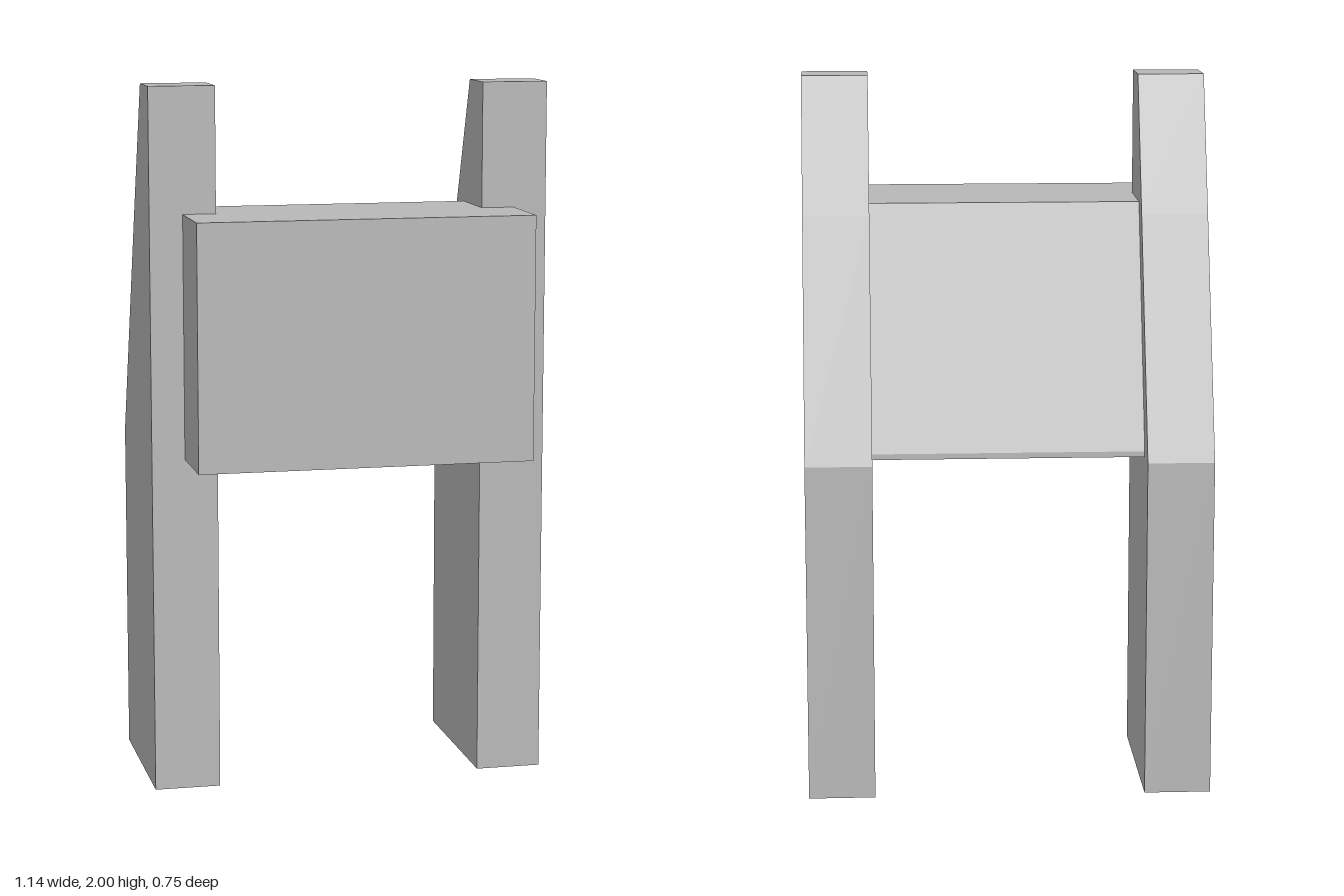
import * as THREE from 'three';

// Extrude a side profile of [z, y] points across x, centred on x = 0
function sideExtrude(points, width) {
  const shape = new THREE.Shape(points.map(([z, y]) => new THREE.Vector2(z, y)));
  const geometry = new THREE.ExtrudeGeometry(shape, { depth: width, bevelEnabled: false });
  geometry.translate(0, 0, -width / 2);
  geometry.rotateY(-Math.PI / 2);
  return geometry;
}

export function createModel() {
  const group = new THREE.Group();
  const grey = new THREE.MeshStandardMaterial({ color: 0xb8b8b8 });
  grey.name = 'grey';

  const add = (name, geometry, x = 0, y = 0, z = 0) => {
    const mesh = new THREE.Mesh(geometry, grey);
    mesh.name = name;
    mesh.position.set(x, y, z);
    group.add(mesh);
  };

  // Two posts with a sloping upper back
  const post = sideExtrude(
    [[0.147, 0], [0.147, 2], [0.006, 2], [-0.135, 1.62], [-0.372, 0.957], [-0.372, 0]],
    0.187
  );
  add('leftPost', post, 0.475);
  add('rightPost', post, -0.475);

  // Wide front slab overlapping the faces of the posts
  add('frontPanel', new THREE.BoxGeometry(0.95, 0.69, 0.228), 0, 1.301, 0.261);

  // Wedge filling the gap between the posts
  add('middleBlock', sideExtrude(
    [[0.147, 0.956], [0.147, 1.646], [-0.056, 1.646], [-0.282, 0.972], [-0.282, 0.956]],
    0.764
  ));

  return group;
}
